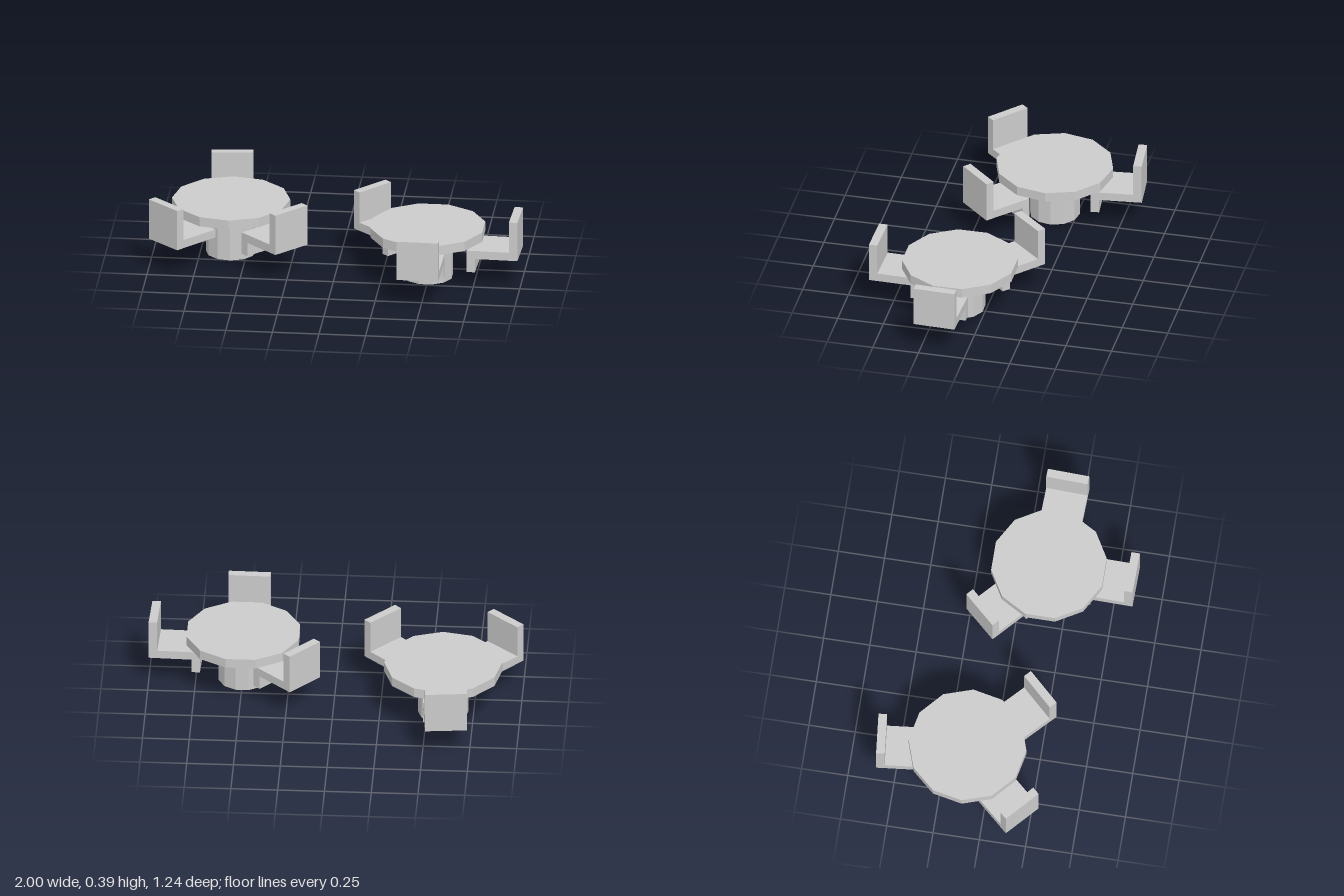
import * as THREE from 'three';

const material = new THREE.MeshStandardMaterial({ color: 0xcccccc, flatShading: true, side: THREE.DoubleSide });

// Chair: side profile (outer face at 0, seat reaching inward) extruded across its width
function makeChair(seatY, hasLeg) {
  const depth = 0.275, thick = 0.046, width = 0.225, top = 0.39;
  const profile = [[0, seatY], [0, top], [-thick, top], [-thick, seatY + thick], [-depth, seatY + thick]];
  if (hasLeg) profile.push([-depth, seatY - 0.077], [-depth + thick, seatY - 0.077], [-depth + thick, seatY]);
  else profile.push([-depth, seatY]);
  const shape = new THREE.Shape(profile.map(([x, y]) => new THREE.Vector2(x, y)));
  const geometry = new THREE.ExtrudeGeometry(shape, { depth: width, bevelEnabled: false });
  geometry.translate(0, 0, -width / 2).rotateY(-Math.PI / 2);
  const chair = new THREE.Mesh(geometry, material);
  chair.name = 'chair';
  return chair;
}

// Table with its ring of chairs; each chair is [x, z, outward x, outward z, hasLeg]
function makeTableSet({ name, x, z, turn, radius, baseY, seatY, chairs }) {
  const set = new THREE.Group();
  set.name = name;

  const topBottom = 0.25, topThick = 0.053;
  const top = new THREE.Mesh(new THREE.CylinderGeometry(radius, radius, topThick, 12), material);
  top.name = 'tableTop';
  top.position.set(x, topBottom + topThick / 2, z);

  // Hollow pedestal, open underneath
  const height = topBottom - baseY;
  const pedestal = new THREE.Mesh(new THREE.CylinderGeometry(0.135, 0.135, height, 12, 1, true), material);
  pedestal.name = 'pedestal';
  pedestal.position.set(x, baseY + height / 2, z);
  top.rotation.y = pedestal.rotation.y = THREE.MathUtils.degToRad(turn);
  set.add(top, pedestal);

  for (const [cx, cz, nx, nz, hasLeg] of chairs) {
    const chair = makeChair(seatY, hasLeg);
    chair.position.set(cx, 0, cz);
    chair.rotation.y = Math.atan2(nx, nz);
    set.add(chair);
  }
  return set;
}

export function createModel() {
  const model = new THREE.Group();
  model.name = 'tablesAndChairs';
  model.add(
    makeTableSet({
      name: 'rightTableSet', x: -0.587, z: -0.129, turn: 3.3, radius: 0.316, baseY: 0, seatY: 0.164,
      chairs: [
        [-0.629, -0.61, -0.1, -0.995, true],
        [-0.917, 0.219, -0.67, 0.742, false],
        [-0.228, 0.226, 0.725, 0.689, true],
      ],
    }),
    makeTableSet({
      name: 'leftTableSet', x: 0.496, z: 0.139, turn: 15, radius: 0.31, baseY: 0.013, seatY: 0.17,
      chairs: [
        [0.15, -0.182, -0.737, -0.676, true],
        [0.994, 0.166, 0.999, 0.036, true],
        [0.487, 0.612, -0.02, 1, true],
      ],
    }),
  );
  return model;
}
